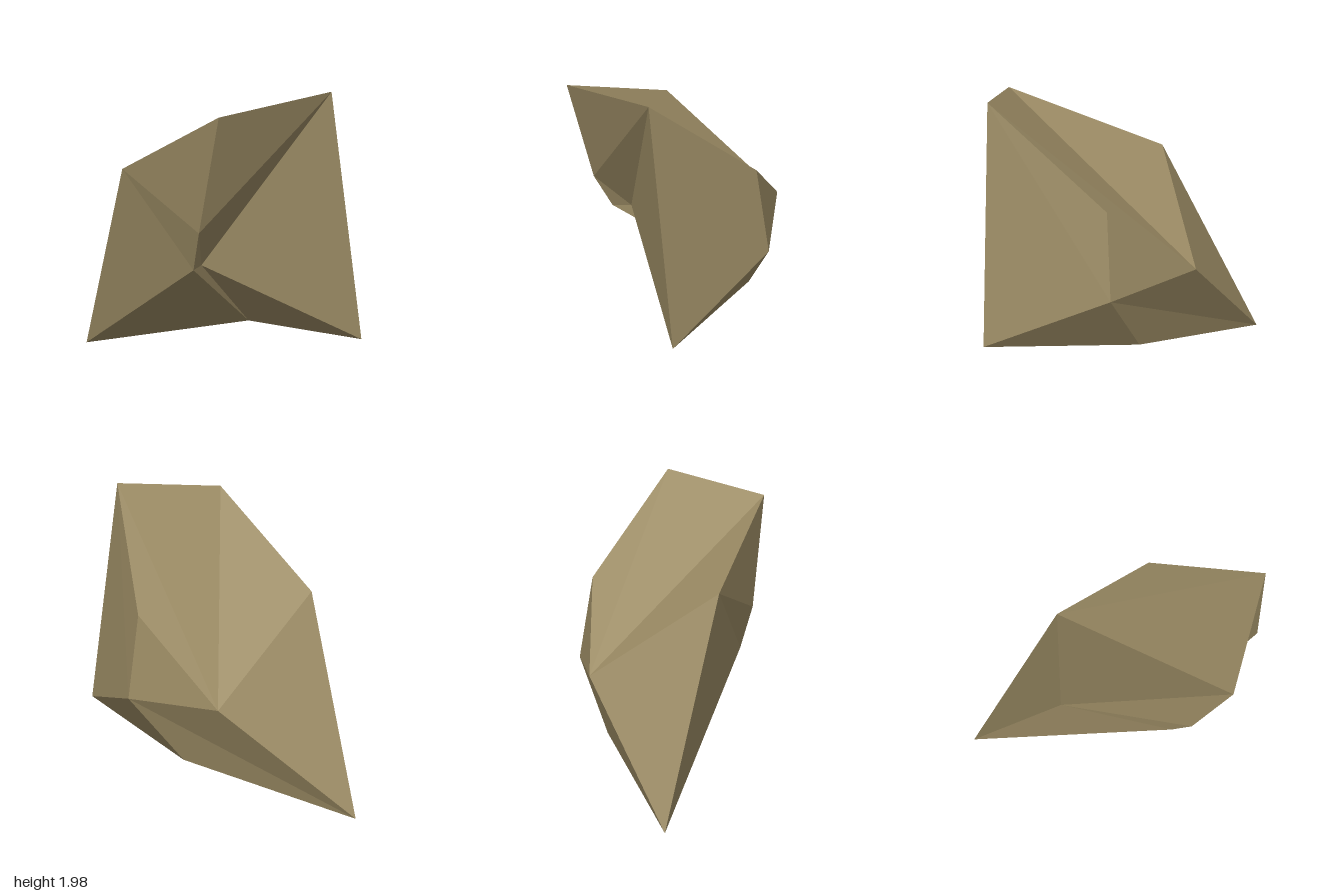
import * as THREE from 'three';

// Corners of the faceted rock
const corners = {
  peak: [0.215, 1.98, 0.92],
  brow: [-0.56, 1.86, 0.79],
  shoulder: [-0.6, 1.4, -0.29],
  ridge: [0.495, 1.31, 0.17],
  flank: [0.595, 0.72, 0.155],
  toe: [0.435, 0.345, 1.0],
  keel: [0.29, 0.255, -0.06],
  tail: [-0.5, 0, -1.0],
  saddle: [0.255, 0.79, -0.445],
  hollow: [-0.405, 0.835, 0.37],
  notch: [-0.515, 0.83, 0.44],
  cheek: [-0.56, 1.1, 0.57],
};

// Facets, counter-clockwise from outside; each is split as a fan
const facets = [
  // front, with its recess
  'peak brow cheek', 'peak cheek hollow', 'cheek notch hollow', 'peak hollow toe',
  // underside
  'hollow keel toe', 'hollow notch keel', 'notch tail keel',
  'flank keel tail', 'flank toe keel',
  // sloping top
  'peak ridge saddle brow', 'brow saddle shoulder',
  // back
  'shoulder saddle tail', 'saddle flank tail', 'saddle ridge flank',
  // sides
  'peak toe flank ridge', 'shoulder tail notch cheek brow',
];

function facetGeometry() {
  const positions = [];
  for (const facet of facets) {
    const loop = facet.split(' ').map((name) => corners[name]);
    for (let i = 1; i < loop.length - 1; i++) {
      positions.push(...loop[0], ...loop[i], ...loop[i + 1]);
    }
  }
  const geometry = new THREE.BufferGeometry();
  geometry.setAttribute('position', new THREE.Float32BufferAttribute(positions, 3));
  geometry.computeVertexNormals(); // unshared corners give flat facets
  return geometry;
}

export function createModel() {
  const stone = new THREE.MeshStandardMaterial({ color: 0x9a8a63 });
  stone.name = 'sandy stone';
  stone.flatShading = true;

  const rock = new THREE.Mesh(facetGeometry(), stone);
  rock.name = 'rock';

  const model = new THREE.Group();
  model.name = 'facetedRock';
  model.add(rock);
  return model;
}
